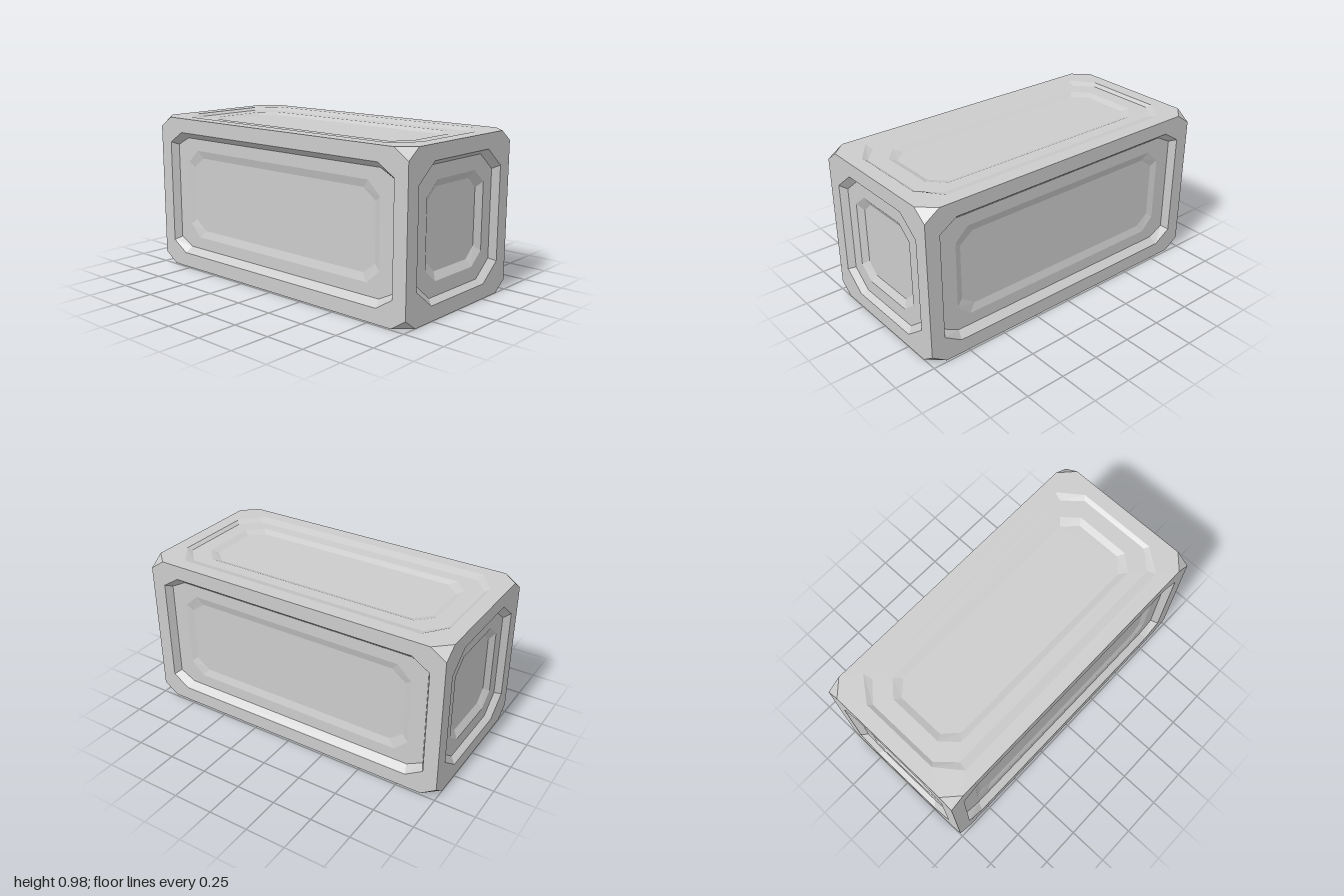
import * as THREE from 'three';

const W = 1, H = 0.4875, D = 0.4875;          // half sizes of the crate
const CX = 0.905, CY = 0.4225, CZ = 0.4;      // where the corner cuts meet each edge

const material = new THREE.MeshStandardMaterial({ color: 0xcccccc, flatShading: true });

// Octagon with half sizes u, v whose corners are cut at cu, cv, at height z.
function octagon([u, v, cu, cv, z]) {
  return [[u, -cv], [u, cv], [cu, v], [-cu, v], [-u, cv], [-u, -cv], [-cu, -v], [cu, -v]]
    .map(([x, y]) => [x, y, z]);
}

function meshFrom(points, name) {
  const geometry = new THREE.BufferGeometry();
  geometry.setAttribute('position', new THREE.Float32BufferAttribute(points.flat(), 3));
  geometry.computeVertexNormals();
  const mesh = new THREE.Mesh(geometry, material);
  mesh.name = name;
  return mesh;
}

// Nested octagons joined ring by ring, closed by a flat middle; faces +z.
function panel(name, rings) {
  const loops = rings.map(octagon);
  const points = [];
  for (let r = 0; r < loops.length - 1; r++) {
    const a = loops[r], b = loops[r + 1];
    for (let i = 0; i < 8; i++) {
      const j = (i + 1) % 8;
      points.push(a[i], a[j], b[j], a[i], b[j], b[i]);
    }
  }
  const last = loops[loops.length - 1];
  for (let i = 1; i < 7; i++) points.push(last[0], last[i], last[i + 1]);
  return meshFrom(points, name);
}

// Each profile: frame edge, then the outer and inner rims of two recess steps.
const longSide = [
  [W, H, CX, CY, D],
  [0.91, 0.397, 0.8, 0.327, D],
  [0.885, 0.36, 0.785, 0.308, D - 0.045],
  [0.785, 0.285, 0.7, 0.205, D - 0.045],
  [0.745, 0.237, 0.66, 0.173, D - 0.059],
];
const endSide = [
  [D, H, CZ, CY, W],
  [0.395, 0.397, 0.258, 0.287, W],
  [0.357, 0.369, 0.232, 0.268, W - 0.035],
  [0.273, 0.283, 0.179, 0.205, W - 0.035],
  [0.23, 0.238, 0.157, 0.172, W - 0.062],
];
const lidSide = [
  [W, D, CX, CZ, H],
  [0.91, 0.4, 0.8, 0.255, H],
  [0.885, 0.345, 0.785, 0.235, H - 0.016],
  [0.785, 0.27, 0.7, 0.175, H - 0.016],
  [0.745, 0.23, 0.66, 0.15, H - 0.032],
];

export function createModel() {
  const crate = new THREE.Group();
  crate.name = 'crate';

  // Six recessed panels
  const quarter = Math.PI / 2;
  for (const [name, rings, rx, ry] of [
    ['frontPanel', longSide, 0, 0],
    ['backPanel', longSide, 0, Math.PI],
    ['leftPanel', endSide, 0, quarter],
    ['rightPanel', endSide, 0, -quarter],
    ['topPanel', lidSide, -quarter, 0],
    ['bottomPanel', lidSide, quarter, 0],
  ]) {
    const mesh = panel(name, rings);
    mesh.rotation.set(rx, ry, 0);
    mesh.position.y = H;
    crate.add(mesh);
  }

  // Eight cut corners, mirrored
  const corners = new THREE.Group();
  corners.name = 'cutCorners';
  corners.position.y = H;
  for (const sx of [1, -1]) for (const sy of [1, -1]) for (const sz of [1, -1]) {
    const a = [sx * CX, sy * H, sz * D];
    const b = [sx * W, sy * CY, sz * D];
    const c = [sx * W, sy * H, sz * CZ];
    corners.add(meshFrom(sx * sy * sz > 0 ? [a, b, c] : [a, c, b], 'cutCorner'));
  }
  crate.add(corners);
  return crate;
}
